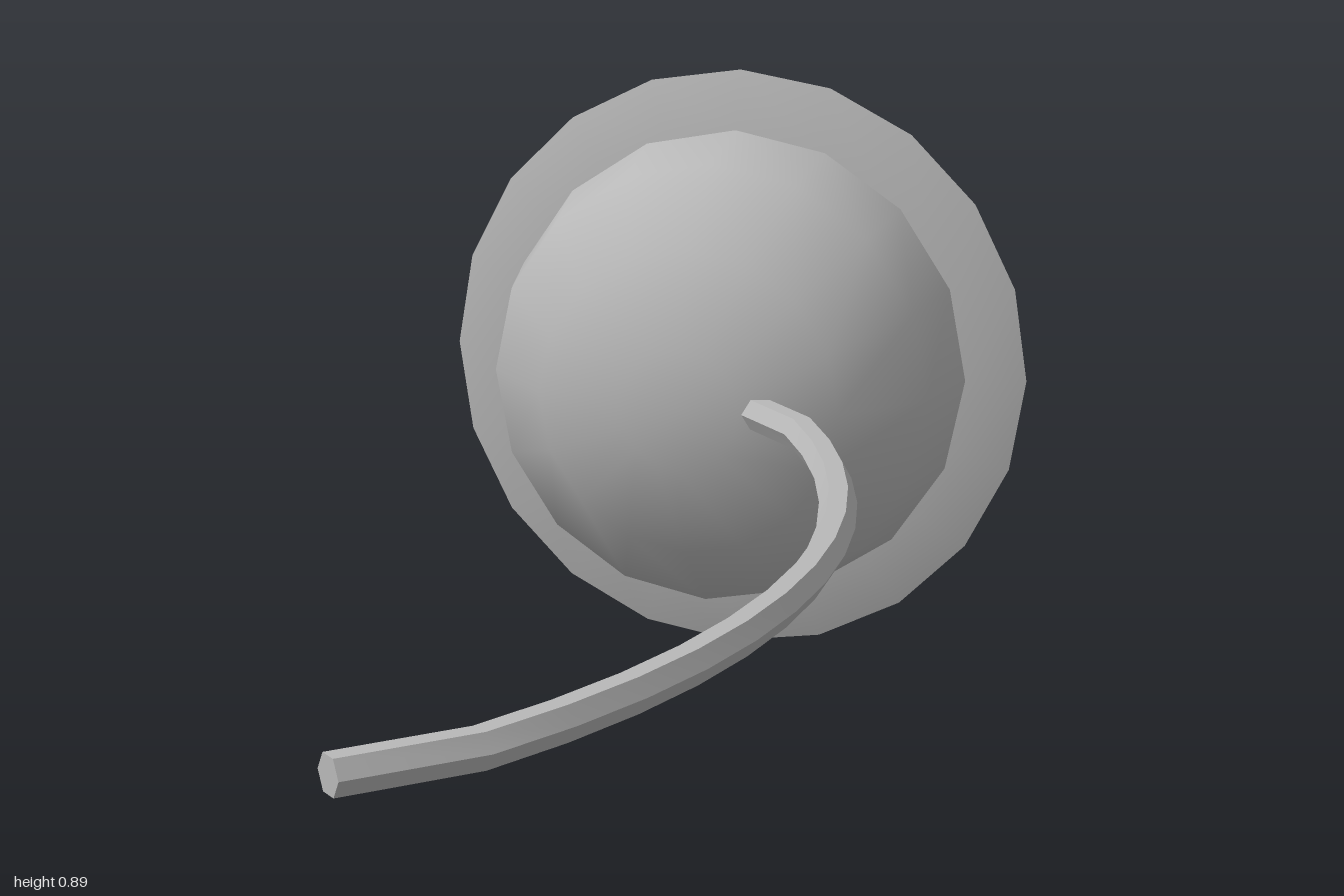
import * as THREE from 'three';
import { toCreasedNormals } from 'three/addons/utils/BufferGeometryUtils.js';

const CENTRE_Y = 0.448;

// Surface of revolution about z; profile is [radius, z] from back to front.
function turned(profile, sides, crease) {
  const points = profile.map(([r, z]) => new THREE.Vector2(r, z));
  const geometry = new THREE.LatheGeometry(points, sides);
  geometry.rotateX(Math.PI / 2);
  return toCreasedNormals(geometry, crease);
}

// Six-sided bar swept along a path of [x, z] points, mitred at each bend.
function sweptBar(path, radius, sides) {
  const pts = path.map(([x, z]) => new THREE.Vector2(x, z));
  const last = pts.length - 1;
  const positions = [];
  const index = [];
  pts.forEach((p, i) => {
    const before = p.clone().sub(pts[Math.max(i - 1, 0)]).normalize();
    const after = pts[Math.min(i + 1, last)].clone().sub(p).normalize();
    const t = before.add(after).normalize();
    for (let k = 0; k < sides; k++) {
      const a = (k / sides) * Math.PI * 2;
      const c = Math.cos(a) * radius;
      positions.push(p.x + t.y * c, Math.sin(a) * radius, p.y - t.x * c);
    }
  });
  for (let i = 0; i < last; i++) {
    for (let k = 0; k < sides; k++) {
      const a = i * sides + k;
      const b = i * sides + ((k + 1) % sides);
      index.push(a, b, b + sides, a, b + sides, a + sides);
    }
  }
  const end = last * sides;
  for (let k = 1; k < sides - 1; k++) {
    index.push(0, k + 1, k, end, end + k, end + k + 1);
  }
  const geometry = new THREE.BufferGeometry();
  geometry.setAttribute('position', new THREE.Float32BufferAttribute(positions, 3));
  geometry.setIndex(index);
  return toCreasedNormals(geometry, 0.6);
}

export function createModel() {
  const model = new THREE.Group();
  model.name = 'curvedRodWithDome';
  const grey = new THREE.MeshStandardMaterial({ color: 0xb8b8b8 });
  grey.name = 'grey';

  function add(name, geometry) {
    const mesh = new THREE.Mesh(geometry, grey);
    mesh.name = name;
    mesh.position.y = CENTRE_Y;
    model.add(mesh);
  }

  // Rounded bowl with a slightly flattened nose
  add('dome', turned([
    [0.357, -0.985], [0.357, -0.935], [0.33, -0.798],
    [0.225, -0.68], [0.088, -0.634], [0, -0.63],
  ], 16, 1));

  // Thin flange tapering to a sharp rim
  add('flange', turned([
    [0, -0.986], [0.36, -0.986], [0.444, -0.963], [0.36, -0.938], [0, -0.938],
  ], 20, 0.4));

  // Closing plate with a narrow bevel
  add('backPlate', turned([[0, -1], [0.347, -1], [0.36, -0.984]], 16, 0.5));

  // Bowed rod: a shallow arc with a short straight tip at each end
  const path = [[0.078, -0.688]];
  const arcRadius = 1.479, midZ = 0.147, halfAngle = 0.4985, steps = 12;
  for (let i = 0; i <= steps; i++) {
    const a = halfAngle * (2 * i / steps - 1);
    path.push([0.38 - arcRadius * (1 - Math.cos(a)), midZ + arcRadius * Math.sin(a)]);
  }
  path.push([0.078, 0.982]);
  add('curvedRod', sweptBar(path, 0.025, 6));

  return model;
}
